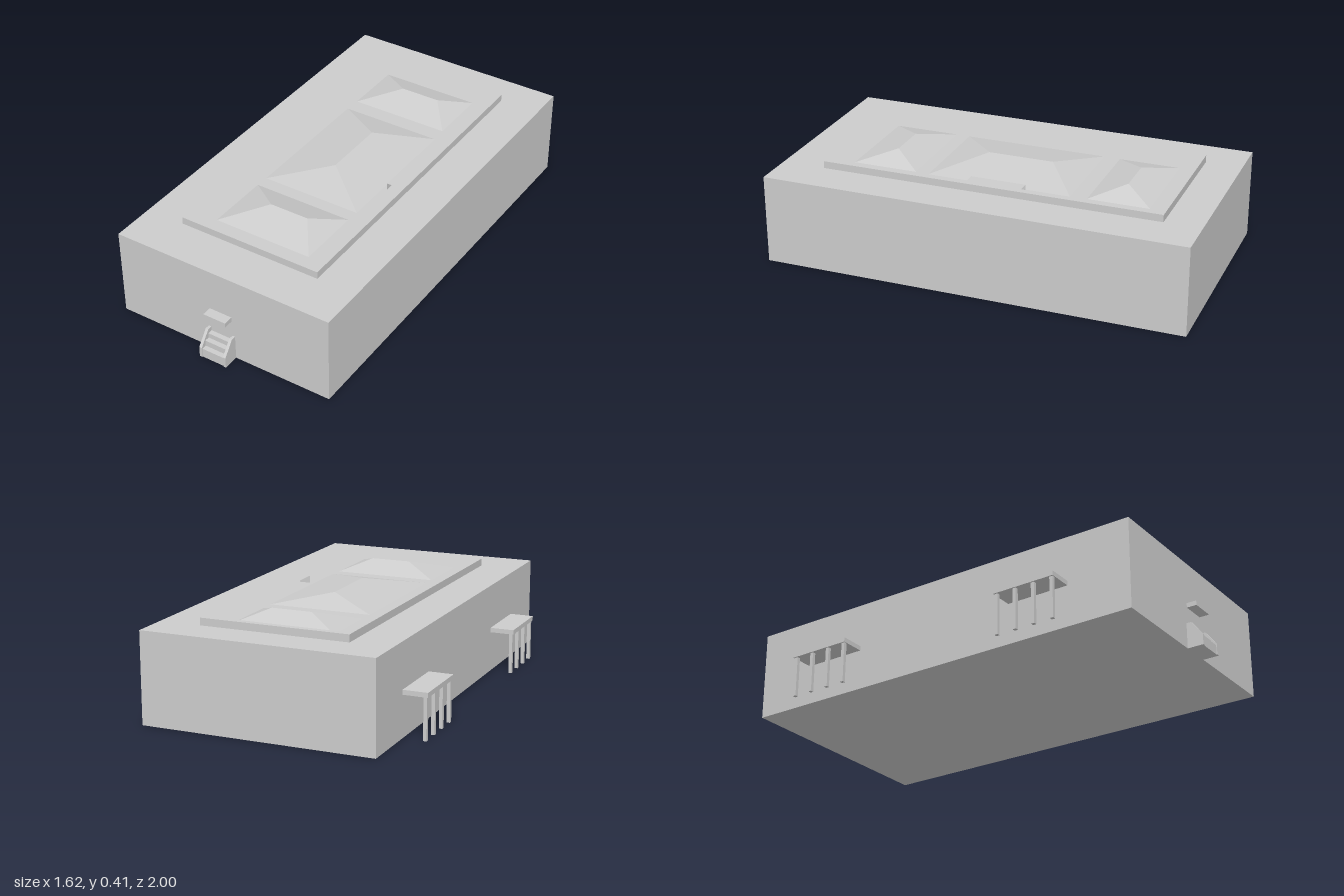
import * as THREE from 'three';
import { ConvexGeometry } from 'three/addons/geometries/ConvexGeometry.js';

const concrete = new THREE.MeshStandardMaterial({ color: 0xcccccc });
concrete.name = 'lightGrey';

const ROOF = 0.37, HALF_W = 0.477, HALF_L = 0.879;

export function createModel() {
  const building = new THREE.Group();
  building.name = 'building';

  const add = (name, geometry, parent = building) => {
    const mesh = new THREE.Mesh(geometry, concrete);
    mesh.name = name;
    parent.add(mesh);
    return mesh;
  };

  // Box given by its limits on each axis
  const block = (name, x0, x1, y0, y1, z0, z1, parent) =>
    add(name, new THREE.BoxGeometry(x1 - x0, y1 - y0, z1 - z0), parent)
      .position.set((x0 + x1) / 2, (y0 + y1) / 2, (z0 + z1) / 2);

  block('mainBlock', -HALF_W, HALF_W, 0, ROOF, -HALF_L, HALF_L);

  // Parapet ring with a thicker stretch on its inner right side
  const plan = (Type, points) => new Type(points.map(([x, z]) => new THREE.Vector2(x, -z)));
  const ring = plan(THREE.Shape, [[-0.308, -0.726], [0.305, -0.726], [0.308, 0.695], [-0.311, 0.695]]);
  ring.holes.push(plan(THREE.Path, [
    [-0.28, -0.7], [0.279, -0.7], [0.279, -0.145], [0.232, -0.145],
    [0.232, 0.085], [0.279, 0.085], [0.279, 0.668], [-0.28, 0.668],
  ]));
  const parapet = add('parapet', new THREE.ExtrudeGeometry(ring, { depth: 0.03, bevelEnabled: false }));
  parapet.rotation.x = -Math.PI / 2;
  parapet.position.y = ROOF;

  // Hipped roof lights: rectangle at the roof, rising to a ridge
  const hip = (name, x0, x1, z0, z1, height, ridge) =>
    add(name, new ConvexGeometry([
      ...[[x0, z0], [x1, z0], [x1, z1], [x0, z1]].map(([x, z]) => new THREE.Vector3(x, ROOF, z)),
      ...ridge.map(([x, z]) => new THREE.Vector3(x, ROOF + height, z)),
    ]));
  hip('backRoofLight', -0.21, 0.21, -0.645, -0.39, 0.043, [[-0.063, -0.525], [0.105, -0.525]]);
  hip('middleRoofLight', -0.213, 0.213, -0.322, 0.278, 0.039, [[0, -0.175], [0, 0.1]]);
  hip('frontRoofLight', -0.215, 0.21, 0.333, 0.606, 0.043, [[-0.063, 0.457], [0.105, 0.457]]);

  // Side canopies, each on a row of four posts
  for (const [name, z] of [['backCanopy', -0.5], ['frontCanopy', 0.48]]) {
    const canopy = new THREE.Group();
    canopy.name = name;
    building.add(canopy);
    block('canopySlab', -0.577, -HALF_W, 0.168, 0.187, z - 0.132, z + 0.132, canopy);
    for (let i = 0; i < 4; i++) {
      const pz = z + (i - 1.5) * 0.081;
      block('canopyPost', -0.572, -0.558, 0, 0.168, pz - 0.007, pz + 0.007, canopy);
    }
  }

  // Entrance steps between two sloping side walls, with a small slab above
  const entrance = new THREE.Group();
  entrance.name = 'entrance';
  building.add(entrance);
  [[0.04, 0.942], [0.065, 0.921], [0.086, 0.9]].forEach(([top, front]) =>
    block('step', -0.054, 0.044, 0, top, HALF_L, front, entrance));
  const side = new THREE.Shape([[0, 0], [0.066, 0], [0.066, 0.045], [0.02, 0.105], [0, 0.105]]
    .map(([z, y]) => new THREE.Vector2(z, y)));
  for (const x of [-0.054, 0.056]) {
    const wall = add('stepSideWall', new THREE.ExtrudeGeometry(side, { depth: 0.012, bevelEnabled: false }), entrance);
    wall.rotation.y = -Math.PI / 2;
    wall.position.set(x, 0, HALF_L);
  }
  block('entranceSlab', -0.056, 0.044, 0.175, 0.194, HALF_L, 0.92, entrance);

  // The building stands turned on its plot
  building.rotation.y = THREE.MathUtils.degToRad(-25.7);
  const model = new THREE.Group();
  model.name = 'model';
  model.add(building);
  return model;
}
